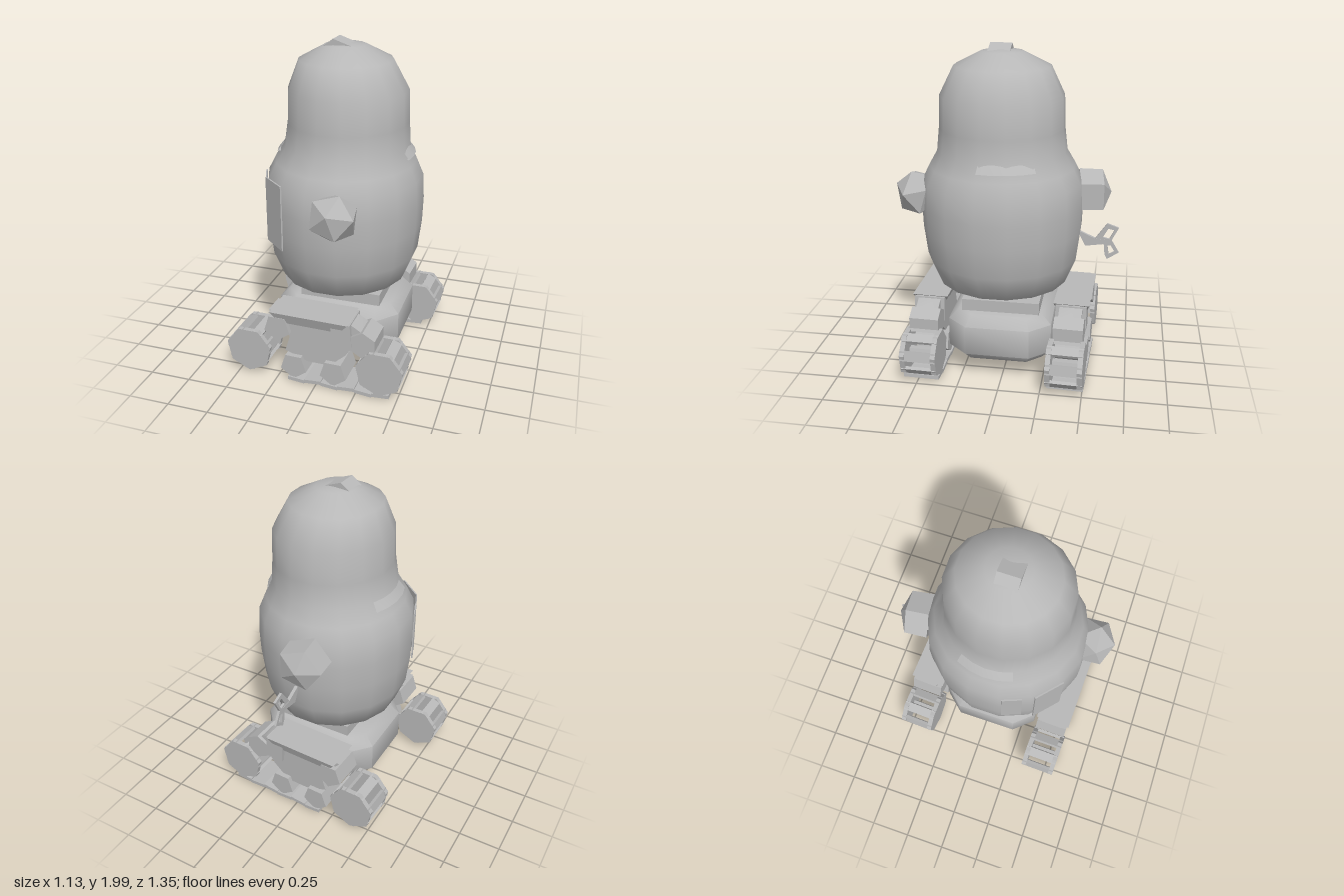
import * as THREE from 'three';
import { toCreasedNormals } from 'three/addons/utils/BufferGeometryUtils.js';

const grey = new THREE.MeshStandardMaterial({ name: 'grey', color: 0xb8b8b8 });
grey.side = THREE.DoubleSide;

function add(parent, name, geo, pos = [0, 0, 0], rot = [0, 0, 0], crease = 0.6) {
  const mesh = new THREE.Mesh(toCreasedNormals(geo, crease), grey);
  mesh.name = name;
  mesh.position.set(...pos);
  mesh.rotation.set(...rot);
  parent.add(mesh);
  return mesh;
}

const points = pts => pts.map(p => new THREE.Vector2(...p));
const lathe = (pts, sides, start, length) => new THREE.LatheGeometry(points(pts), sides, start, length);

function extrude(pts, depth, hole, bevel = 0) {
  const shape = new THREE.Shape(points(pts));
  if (hole) shape.holes.push(new THREE.Path(points(hole)));
  return new THREE.ExtrudeGeometry(shape, {
    depth, bevelEnabled: bevel > 0, bevelThickness: bevel, bevelSize: bevel, bevelSegments: 1
  }).translate(0, 0, -depth / 2);
}

// Drum axis along z
const drum = (r, depth, sides) => new THREE.CylinderGeometry(r, r, depth, sides).rotateX(Math.PI / 2);

// Open spool wheel: two discs joined by slats and a thin axle
function makeWheel(x, y) {
  const wheel = new THREE.Group();
  wheel.name = 'wheel';
  wheel.position.set(x, y, 0);
  add(wheel, 'axle', drum(0.03, 0.16, 5));
  for (const z of [-0.095, 0.095]) add(wheel, 'wheelDisc', drum(0.145, 0.03, 7), [0, 0, z]);
  for (let i = 0; i < 7; i++) {
    const a = (i + 0.5) / 7 * Math.PI * 2;
    add(wheel, 'treadSlat', new THREE.BoxGeometry(0.06, 0.02, 0.22),
      [Math.sin(a) * 0.125, Math.cos(a) * 0.125, 0], [0, 0, -a]);
  }
  return wheel;
}

// One track unit running sideways, with end wheels, frame and rollers
function makeTrack(name, z, shift, turn) {
  const track = new THREE.Group();
  track.name = name;
  track.position.set(0, 0, z);
  track.rotation.y = turn;
  track.add(makeWheel(-0.415 + shift, 0.18), makeWheel(0.405 + shift, 0.18));
  add(track, 'trackFrame', extrude([
    [-0.3, 0.46], [-0.23, 0.38], [-0.17, 0.3], [-0.2, 0.2], [-0.06, 0.15],
    [0.08, 0.15], [0.18, 0.24], [0.22, 0.3], [0.36, 0.33], [0.3, 0.4], [0.2, 0.46]], 0.14));
  // Flared top rail
  add(track, 'topRail', new THREE.CylinderGeometry(0.156, 0.12, 0.07, 4, 1).rotateY(Math.PI / 4)
    .scale(2.2, 1, 1), [-0.04, 0.43, 0]);
  add(track, 'upperRoller', drum(0.085, 0.2, 5), [-0.24, 0.36, 0]);
  add(track, 'upperBlock', new THREE.BoxGeometry(0.12, 0.15, 0.19), [0.16, 0.38, 0], [0, 0, 0.08]);
  add(track, 'upperRoller', drum(0.085, 0.18, 6), [0.29, 0.34, 0]);
  for (const x of [-0.14, 0.11]) add(track, 'lowerRoller', drum(0.085, 0.2, 5), [x, 0.115, 0]);
  // Lower run of the tread
  for (let i = 0; i < 6; i++) {
    add(track, 'treadLink', new THREE.BoxGeometry(0.105, 0.022, 0.22),
      [-0.12 + i * 0.105, 0.03 + 0.006 * (i % 2), 0], [0, 0, i % 2 ? 0.08 : -0.08]);
  }
  return track;
}

export function createModel() {
  const model = new THREE.Group();
  model.name = 'windUpToy';

  // Bottle-shaped body with a domed head, the head leaning slightly to its left
  const bodyGeo = lathe([
    [0, 0.478], [0.2, 0.485], [0.385, 0.565], [0.447, 0.72], [0.468, 0.9], [0.473, 1.05],
    [0.464, 1.2], [0.422, 1.29], [0.373, 1.38], [0.358, 1.52], [0.352, 1.71],
    [0.273, 1.88], [0.12, 1.96], [0, 1.975]], 16).rotateY(0.2).scale(1, 1, 1.045);
  const p = bodyGeo.attributes.position;
  for (let i = 0; i < p.count; i++) {
    const lean = THREE.MathUtils.smoothstep(p.getY(i), 1.2, 1.5) - THREE.MathUtils.smoothstep(p.getY(i), 1.7, 1.95);
    p.setX(i, p.getX(i) + 0.018 * lean);
  }
  add(model, 'body', bodyGeo, [0.02, 0, 0.04], [0, 0, 0], 0.85);

  // Ridge on the crown
  add(model, 'crownRidge', extrude([[-0.09, 1.955], [0.1, 1.955], [-0.03, 2]], 0.13), [0, 0, 0.055]);

  // Shallow ledges where the head meets the body
  for (const start of [1.35, 4.25]) {
    add(model, 'shoulderLedge', lathe([[0.38, 1.34], [0.41, 1.337], [0.372, 1.385]], 4, start, 0.85),
      [0.027, 0, 0.04]);
  }

  // Thin side panels on the chest
  for (const [a, r, y, w, h] of [[-0.73, 0.481, 1.02, 0.19, 0.4], [-1.2, 0.472, 1.04, 0.12, 0.32]]) {
    add(model, 'chestPanel', new THREE.BoxGeometry(w, h, 0.009),
      [0.02 + Math.sin(a) * r, y, 0.04 + Math.cos(a) * r], [0, a, 0]);
  }

  // Faceted knobs front and back
  const frontKnob = add(model, 'frontKnob', new THREE.IcosahedronGeometry(0.15, 0),
    [0.11, 1.11, 0.55], [0.2, 0.15, 0.25], 0.2);
  frontKnob.scale.z = 0.9;
  add(model, 'backKnob', lathe([[0.14, -0.08], [0.135, 0.06], [0, 0.115]], 5).rotateX(-Math.PI / 2),
    [-0.065, 1.11, -0.5], [0, 0.12, 0.3], 0.2);

  // Winding key: tapered stem and two open wings
  const key = new THREE.Group();
  key.name = 'windingKey';
  add(key, 'keyStem', extrude([[0.42, 0.89], [0.47, 0.79], [0.6, 0.81], [0.6, 0.835], [0.53, 0.84]], 0.02));
  add(key, 'keyWing', extrude([[0.53, 0.84], [0.6, 0.94], [0.67, 0.915], [0.62, 0.815]], 0.015,
    [[0.575, 0.85], [0.607, 0.908], [0.645, 0.9], [0.615, 0.84]]));
  add(key, 'keyWing', extrude([[0.58, 0.83], [0.63, 0.83], [0.675, 0.755], [0.605, 0.71], [0.59, 0.74]], 0.015,
    [[0.605, 0.8], [0.625, 0.8], [0.65, 0.76], [0.615, 0.74]]));
  key.position.x = 0.025;
  key.rotation.y = Math.PI / 2;
  model.add(key);

  // Turntable neck and chassis tub with cut corners
  add(model, 'neck', new THREE.BoxGeometry(0.5, 0.1, 0.47), [0.05, 0.455, 0.015]);
  add(model, 'chassis', extrude([
    [-0.325, -0.17], [-0.25, -0.255], [0.25, -0.255], [0.325, -0.17],
    [0.325, 0.17], [0.25, 0.255], [-0.25, 0.255], [-0.325, 0.17]], 0.18, null, 0.058)
    .rotateX(Math.PI / 2), [0.028, 0.284, 0.018], [0, 0, 0], 0.9);

  model.add(makeTrack('frontTrack', 0.468, -0.01, -0.025));
  model.add(makeTrack('backTrack', -0.415, 0.015, -0.04));
  return model;
}
